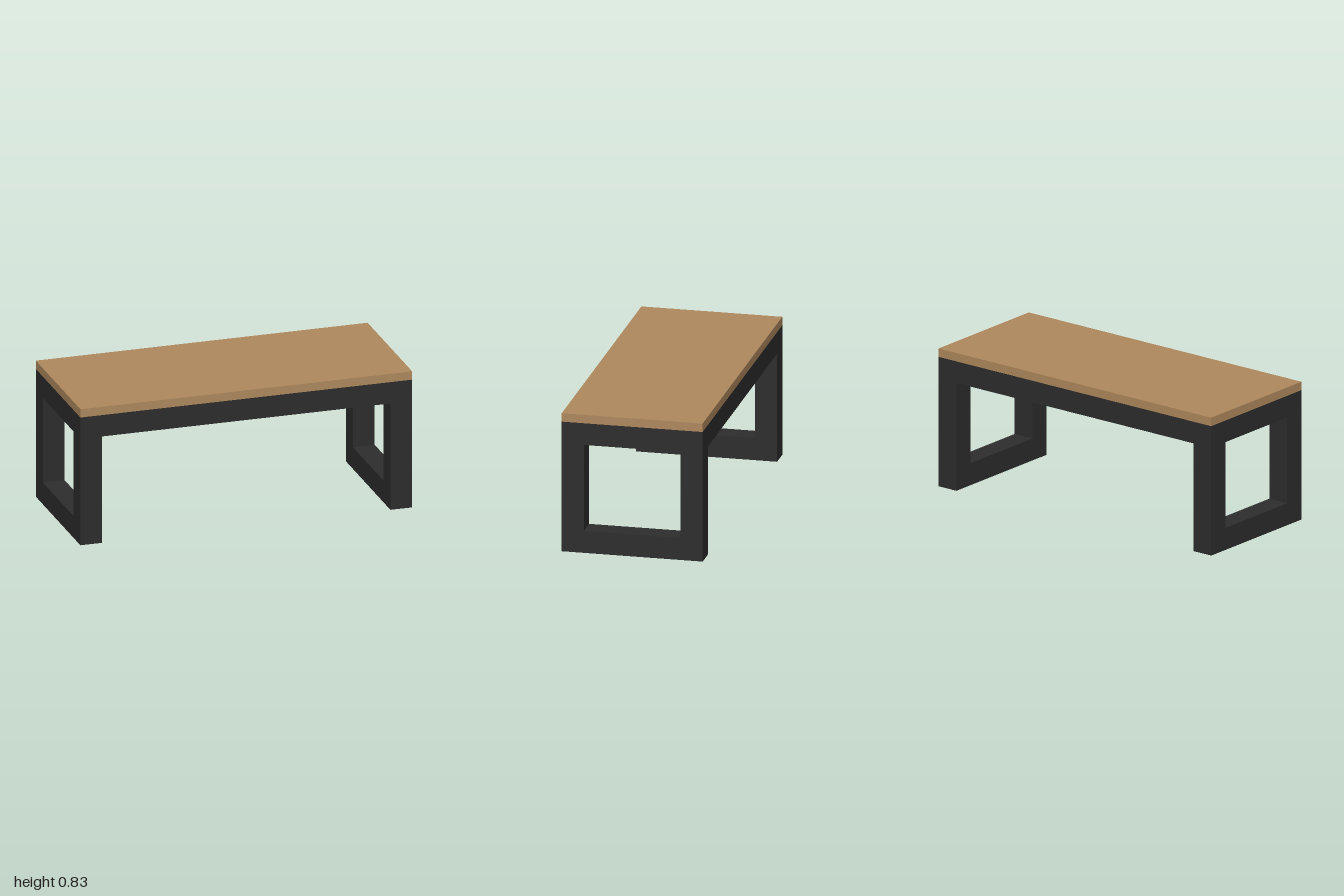
import * as THREE from 'three';

export function createModel() {
  const model = new THREE.Group();
  model.name = 'bench';

  const wood = new THREE.MeshStandardMaterial({ color: 0xb08a5e });
  wood.name = 'wood';
  const metal = new THREE.MeshStandardMaterial({ color: 0x2d2d2d });
  metal.name = 'dark metal';

  const halfX = 1, halfZ = 0.415; // outer footprint
  const bar = 0.131;              // square bar thickness
  const frameTop = 0.783, top = 0.834;

  const addBox = (parent, name, material, size, position) => {
    const mesh = new THREE.Mesh(new THREE.BoxGeometry(...size), material);
    mesh.name = name;
    mesh.position.set(...position);
    parent.add(mesh);
  };

  // Seat board
  addBox(model, 'seat', wood, [2 * halfX, top - frameTop, 2 * halfZ], [0, (top + frameTop) / 2, 0]);

  // Closed rectangular leg frame at each end, extruded across the bar thickness
  const outline = new THREE.Shape([
    new THREE.Vector2(-halfZ, 0), new THREE.Vector2(halfZ, 0),
    new THREE.Vector2(halfZ, frameTop), new THREE.Vector2(-halfZ, frameTop),
  ]);
  const inner = halfZ - bar;
  outline.holes.push(new THREE.Path([
    new THREE.Vector2(-inner, bar + 0.002), new THREE.Vector2(-inner, frameTop - bar),
    new THREE.Vector2(inner, frameTop - bar), new THREE.Vector2(inner, bar + 0.002),
  ]));
  const frameGeometry = new THREE.ExtrudeGeometry(outline, { depth: bar, bevelEnabled: false });
  frameGeometry.translate(0, 0, -bar / 2).rotateY(Math.PI / 2);
  for (const [side, name] of [[1, 'leftLegFrame'], [-1, 'rightLegFrame']]) {
    const frame = new THREE.Mesh(frameGeometry, metal);
    frame.name = name;
    frame.position.x = side * (halfX - bar / 2);
    model.add(frame);
  }

  // Long rails joining the two frames under the seat
  for (const [side, name] of [[1, 'frontRail'], [-1, 'backRail']]) {
    addBox(model, name, metal, [2 * (halfX - bar), bar, bar],
      [0, frameTop - bar / 2, side * (halfZ - bar / 2)]);
  }

  return model;
}
